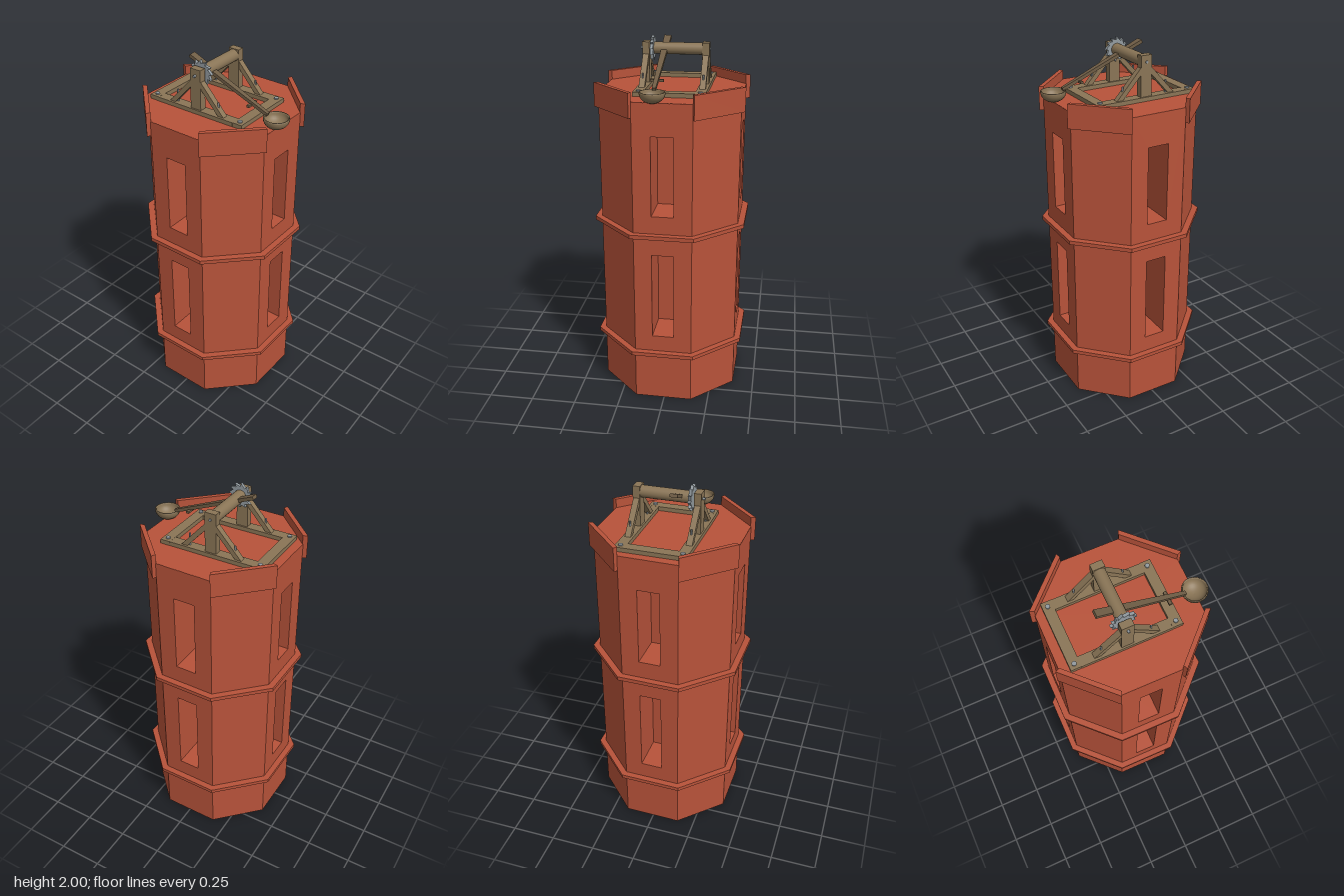
import * as THREE from 'three';

const mat = (color, extra = {}) => new THREE.MeshStandardMaterial({ color, ...extra });
const brick = mat(0xb8533a, { flatShading: true });
const wood = mat(0x8a7556);
const darkWood = mat(0x6f5d45);
const metal = mat(0x939ba0);

function add(parent, name, geometry, material, x = 0, y = 0, z = 0) {
  const mesh = new THREE.Mesh(geometry, material);
  mesh.name = name;
  mesh.position.set(x, y, z);
  parent.add(mesh);
  return mesh;
}
const box = (w, h, d) => new THREE.BoxGeometry(w, h, d);

// Box stretched between two points of the y-z plane
function beam(parent, name, x, [y0, z0], [y1, z1], width, thick, material) {
  const len = Math.hypot(y1 - y0, z1 - z0);
  const m = add(parent, name, box(width, thick, len), material, x, (y0 + y1) / 2, (z0 + z1) / 2);
  m.rotation.x = -Math.atan2(y1 - y0, z1 - z0);
  return m;
}

const TAN = Math.tan(Math.PI / 8), COS = Math.cos(Math.PI / 8);
const APOTHEM = 0.383, DECK = 1.73;

function octagon(apothem, height) {
  const r = apothem / COS;
  return new THREE.CylinderGeometry(r, r, height, 8).rotateY(Math.PI / 8);
}

function createTower() {
  const tower = new THREE.Group();
  tower.name = 'tower';
  tower.position.z = -0.012;
  tower.rotation.y = -0.013;

  // Eight walls: windows on the straight sides, parapets on the diagonal ones
  const half = APOTHEM * TAN;
  for (let i = 0; i < 8; i++) {
    const side = new THREE.Group();
    side.name = 'wallSide' + (i + 1);
    side.rotation.y = i * Math.PI / 4;
    tower.add(side);

    const straight = i % 2 === 0;
    const depth = straight ? 0.2 : 0.04;
    const wall = new THREE.Shape([
      new THREE.Vector2(-half, 0), new THREE.Vector2(half, 0),
      new THREE.Vector2(half, DECK), new THREE.Vector2(-half, DECK)]);
    if (straight) {
      for (const [low, high] of [[0.4, 0.895], [1.12, 1.555]]) {
        wall.holes.push(new THREE.Path([
          new THREE.Vector2(-0.06, low), new THREE.Vector2(-0.06, high),
          new THREE.Vector2(0.06, high), new THREE.Vector2(0.06, low)]));
      }
    }
    add(side, 'wall', new THREE.ExtrudeGeometry(wall, { depth, bevelEnabled: false }), brick, 0, 0, APOTHEM - depth);

    if (!straight) {
      const inner = 0.38, outer = 0.404;
      const plan = new THREE.Shape([
        new THREE.Vector2(-outer * TAN, -outer), new THREE.Vector2(outer * TAN, -outer),
        new THREE.Vector2(inner * TAN, -inner), new THREE.Vector2(-inner * TAN, -inner)]);
      const geo = new THREE.ExtrudeGeometry(plan, { depth: 0.13, bevelEnabled: false }).rotateX(-Math.PI / 2);
      add(side, 'parapet', geo, brick, 0, 1.65, 0);
    }
  }

  // Window backs, deck, underside and belts
  const inner = (APOTHEM - 0.2) * 2;
  add(tower, 'core', box(inner, DECK - 0.04, inner), brick, 0, DECK / 2, 0);
  add(tower, 'deck', octagon(APOTHEM - 0.001, 0.02), brick, 0, DECK - 0.0095, 0);
  add(tower, 'foundation', octagon(APOTHEM - 0.001, 0.02), brick, 0, 0.01, 0);
  for (const y of [0.295, 1.01]) add(tower, 'belt', octagon(0.417, 0.022), brick, 0, y, 0);
  return tower;
}

function createCatapult() {
  const cat = new THREE.Group();
  cat.name = 'catapult';
  const sides = [-0.153, 0.171];
  const axleY = 1.935, axleZ = -0.05;

  // Base frame with corner bolts
  for (const z of [-0.32, 0.213]) {
    add(cat, 'crossBeam', box(0.38, 0.025, 0.056), wood, 0.01, 1.741, z);
    for (const x of sides) {
      add(cat, 'cornerBolt', new THREE.CylinderGeometry(0.012, 0.012, 0.008, 12), metal, x, 1.756, z);
    }
  }

  for (const x of sides) {
    add(cat, 'sideRail', box(0.056, 0.024, 0.48), wood, x, 1.741, -0.054);
    add(cat, 'post', box(0.038, 0.24, 0.064), wood, x, 1.85, axleZ);
    // Diagonal braces with their pegs
    for (const s of [-1, 1]) {
      beam(cat, 'brace', x, [1.738, axleZ + s * 0.168], [1.9, axleZ + s * 0.02], 0.032, 0.026, wood);
      add(cat, 'bracePeg', new THREE.CylinderGeometry(0.005, 0.005, 0.07, 8), metal, x, 1.785, axleZ + s * 0.13);
      const staple = add(cat, 'braceStaple', box(0.014, 0.008, 0.03), metal, x, 1.862, axleZ + s * 0.066);
      staple.rotation.x = s * 0.83;
    }
  }

  // Winding drum and axle
  const rod = (r, len) => new THREE.CylinderGeometry(r, r, len, 24).rotateZ(Math.PI / 2);
  add(cat, 'drum', rod(0.032, 0.27), wood, 0.018, axleY, axleZ);
  add(cat, 'axle', rod(0.007, 0.38), metal, 0.005, axleY, axleZ);

  // Ratchet wheel with slanted teeth
  const ratchet = new THREE.Shape();
  const teeth = 12;
  for (let i = 0; i < teeth; i++) {
    const a = (i / teeth) * Math.PI * 2, b = a + Math.PI * 2 / teeth * 0.9;
    ratchet[i ? 'lineTo' : 'moveTo'](Math.cos(a) * 0.05, Math.sin(a) * 0.05);
    ratchet.lineTo(Math.cos(b) * 0.067, Math.sin(b) * 0.067);
  }
  ratchet.closePath();
  add(cat, 'ratchetWheel', new THREE.ExtrudeGeometry(ratchet, { depth: 0.016, bevelEnabled: false })
    .rotateY(Math.PI / 2), metal, -0.126, axleY, axleZ);

  // Throwing arm, narrowing towards the bowl
  const armX = -0.054;
  const arm = beam(cat, 'throwingArm', armX, [1.98, -0.163], [1.785, 0.31], 0.04, 0.018, darkWood);
  const pos = arm.geometry.attributes.position;
  for (let i = 0; i < pos.count; i++) if (pos.getZ(i) > 0) pos.setX(i, pos.getX(i) * 0.5);
  arm.geometry.computeVertexNormals();
  add(cat, 'armCatch', box(0.072, 0.012, 0.016), darkWood, armX, 1.813, 0.213);

  // Hollow bowl
  const profile = [];
  for (let i = 0; i <= 8; i++) {
    const a = (i / 8) * Math.PI / 2;
    profile.push(new THREE.Vector2(0.067 * Math.sin(a), -0.053 * Math.cos(a)));
  }
  profile.push(new THREE.Vector2(0.067, 0.006), new THREE.Vector2(0.061, 0.006));
  for (let i = 8; i >= 0; i--) {
    const a = (i / 8) * Math.PI / 2;
    profile.push(new THREE.Vector2(0.06 * Math.sin(a), -0.045 * Math.cos(a)));
  }
  add(cat, 'bowl', new THREE.LatheGeometry(profile, 28), wood, armX, 1.779, 0.362);
  return cat;
}

export function createModel() {
  const model = new THREE.Group();
  model.name = 'catapultTower';
  model.add(createTower(), createCatapult());
  return model;
}
